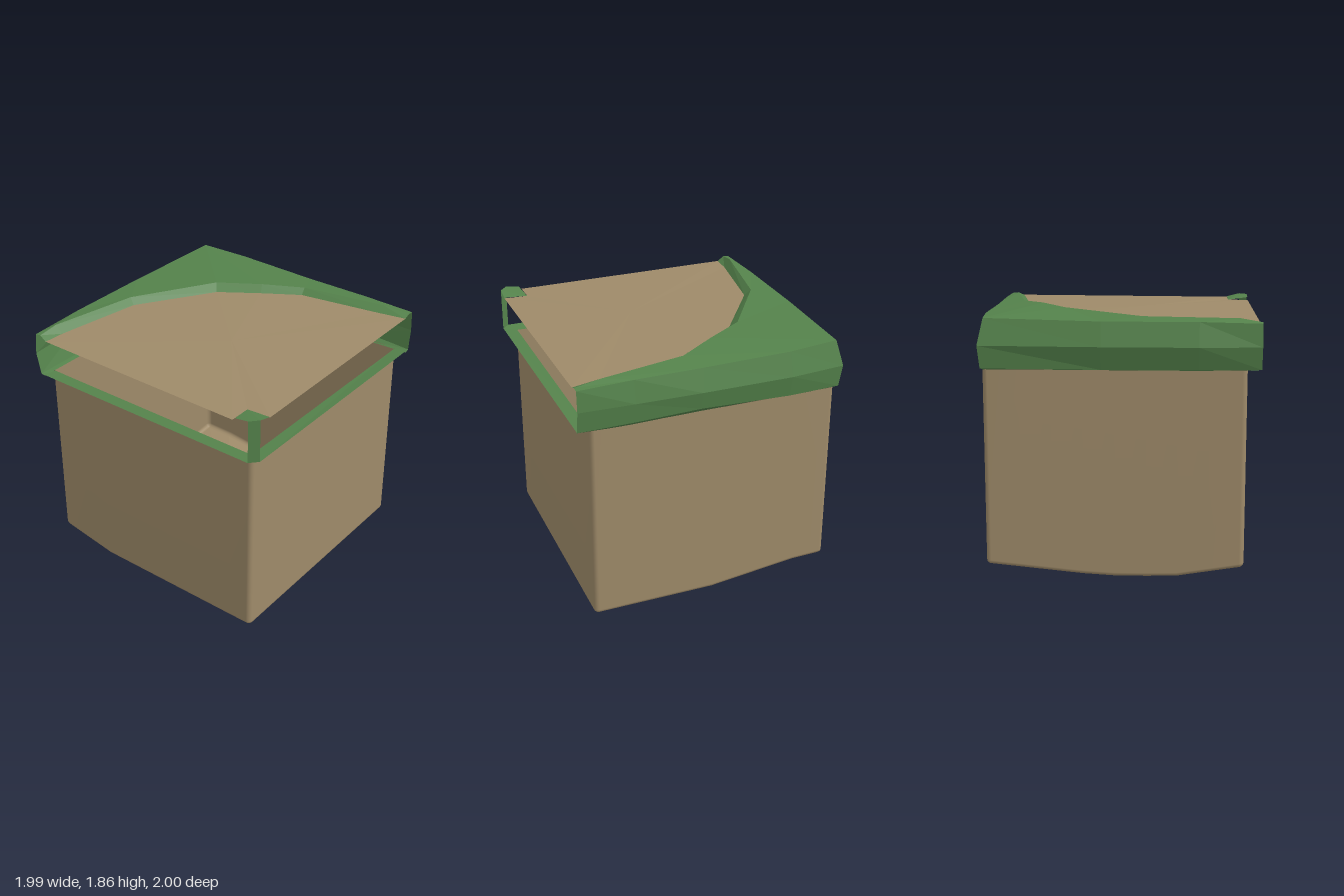
import * as THREE from 'three';

const brown = new THREE.MeshStandardMaterial({ color: 0x9e8a69, side: THREE.DoubleSide });
brown.name = 'earth';
const green = new THREE.MeshStandardMaterial({ color: 0x54824b, side: THREE.DoubleSide });
green.name = 'grass';

const TOP = 1.49;

function makeMesh(name, points, index, material, flat = true) {
  let geo = new THREE.BufferGeometry();
  geo.setAttribute('position', new THREE.Float32BufferAttribute(points.flat(), 3));
  geo.setIndex(index);
  if (flat) geo = geo.toNonIndexed();
  geo.computeVertexNormals();
  const mesh = new THREE.Mesh(geo, material);
  mesh.name = name;
  return mesh;
}

// Join rows of equal length; closed wraps the last column to the first
function loft(name, rows, material, flat = true, closed = false) {
  const n = rows[0].length, index = [];
  for (let r = 0; r < rows.length - 1; r++) {
    for (let c = 0; c < (closed ? n : n - 1); c++) {
      const d = (c + 1) % n;
      const a = r * n + c, b = r * n + d, e = a + n, f = b + n;
      index.push(a, e, b, b, e, f);
    }
  }
  return makeMesh(name, rows.flat(), index, material, flat);
}

// Triangle fan from the first point
function fan(name, points, material, closed = false) {
  const index = [];
  for (let i = 1; i < points.length - 1; i++) index.push(0, i, i + 1);
  if (closed) index.push(0, points.length - 1, 1);
  return makeMesh(name, points, index, material);
}

// Lift of the underside at the two back corners
function lift(x, z) {
  const s = THREE.MathUtils.clamp;
  if (x > 0) return 0.08 * s((x - 0.1) / 0.8, 0, 1) * s(-z / 0.7, 0, 1);
  return 0.08 * s((-x - 0.4) / 0.5, 0, 1) * s((-z - 0.45) / 0.45, 0, 1);
}

// Rounded square outline of the block, running from +x towards -z
function outline(inset) {
  const r = 0.035, h = 0.915, pts = [];
  for (let k = 0; k < 4; k++) {
    const a0 = k * Math.PI / 2;
    const dir = a0 + Math.PI / 4;
    const cx = Math.sign(Math.cos(dir)) * (h - r), cz = -Math.sign(Math.sin(dir)) * (h - r);
    for (let i = 0; i <= 4; i++) {
      const a = a0 + i * Math.PI / 8, q = r - inset;
      pts.push([cx + q * Math.cos(a), cz - q * Math.sin(a)]);
    }
    // subdivide the straight side that follows
    const end = pts[pts.length - 1];
    const step = [[-1, 0], [0, 1], [1, 0], [0, -1]][k];
    for (let i = 1; i < 8; i++) {
      const t = 2 * (h - r) * i / 8;
      pts.push([end[0] + step[0] * t, end[1] + step[1] * t]);
    }
  }
  return pts.map(([x, z]) => [x + 0.01, z - 0.005]);
}

function makeBlock() {
  const block = new THREE.Group();
  block.name = 'earthBlock';
  const r = 0.03;
  const ring = (inset, y, raised = true) =>
    outline(inset).map(([x, z]) => [x, y + (raised ? lift(x, z) : 0), z]);
  const rows = [ring(0, TOP, false)];
  for (let i = 0; i <= 3; i++) {
    const a = i * Math.PI / 6;
    rows.push(ring(r * (1 - Math.cos(a)), r * (1 - Math.sin(a))));
  }
  block.add(loft('blockWalls', rows.map(row => [...row].reverse()).reverse(), brown, false, true));
  const base = rows[rows.length - 1];
  block.add(fan('blockUnderside', [[0.01, 0, 0], ...base.slice().reverse()], brown, true));
  return block;
}

// Grass stations from the left end of the back to the front end of the right:
// low (x, y, z), middle (x, z), ridge (x, y, z), rim top (x, y, z), rim foot (x, y, z)
const stations = [
  [[-1, 1.50, -0.935], [-1, -0.97], [-1, 1.82, -0.955], [-1, 1.825, -0.91], [-1, 1.79, -0.86]],
  [[-0.57, 1.495, -0.945], [-0.57, -1], [-0.57, 1.83, -0.96], [-0.85, 1.85, -0.90], [-0.84, 1.79, -0.85]],
  [[0.1, 1.495, -0.945], [0.1, -1], [0.1, 1.83, -0.96], [-0.18, 1.845, -0.775], [-0.2, 1.80, -0.73]],
  [[0.935, 1.50, -0.945], [0.95, -0.965], [0.91, 1.845, -0.92], [0.39, 1.86, -0.40], [0.34, 1.81, -0.36]],
  [[0.96, 1.505, -0.55], [0.99, -0.55], [0.945, 1.835, -0.55], [0.58, 1.86, -0.105], [0.53, 1.81, -0.08]],
  [[0.965, 1.53, 0.12], [0.99, 0.12], [0.945, 1.825, 0.1], [0.755, 1.845, 0.17], [0.705, 1.805, 0.18]],
  [[0.96, 1.515, 0.6], [0.98, 0.6], [0.95, 1.825, 0.6], [0.88, 1.84, 0.8], [0.82, 1.80, 0.8]],
  [[0.945, 1.505, 1], [0.965, 1], [0.955, 1.815, 1], [0.91, 1.82, 1], [0.86, 1.80, 1]],
];
const flangeStart = [
  [-1, 1.495, -0.9], [-0.57, 1.487, -0.91], [0.1, 1.487, -0.91], [0.915, 1.487, -0.91],
  [0.915, 1.487, -0.55], [0.915, 1.487, 0.12], [0.915, 1.477, 0.6], [0.915, 1.49, 1],
];

export function createModel() {
  const model = new THREE.Group();
  model.name = 'cliffBlock';
  model.add(makeBlock());

  // Overhanging grass: outer skirt, sloping top and the step down to the path
  const rows = [0, 1, 2, 3, 4, 5].map(k => stations.map((s, i) => {
    const [low, mid, ridge, rimTop, rimFoot] = s;
    return [flangeStart[i], low, [mid[0], 1.66, mid[1]], ridge, rimTop, rimFoot][k];
  }));
  model.add(loft('grassUnderside', [rows[1], rows[0]].reverse().map(r => [...r].reverse()), green));
  model.add(loft('grassSkirt', rows.slice(1, 4).map(r => [...r].reverse()), green));
  model.add(loft('grassTop', rows.slice(3).map(r => [...r].reverse()), green));

  // Earth surface on top, gently domed
  const foot = rows[5].slice().reverse();
  model.add(fan('earthTop', [
    [-0.2, 1.805, 0.2], ...foot,
    [-1, 1.785, 0.82], [-0.84, 1.785, 0.82], [-0.84, 1.79, 1],
  ], brown, true));

  // Small grass corner at the front, with its clipped outer face
  const inner = [-0.84, 1.785, 0.82];
  const a = [-1, 1.82, 0.945], b = [-0.94, 1.82, 1];
  model.add(fan('cornerGrass', [inner, [-1, 1.805, 0.84], a, b, [-0.84, 1.795, 1]], green));
  const post = [1.5, 1.66, 1.82].map(y => [[-1, y, 0.945], [-0.94, y, 1]]);
  model.add(loft('cornerFace', post.reverse(), green));

  // Thin grass ledge along the open front and left sides
  const outer = [[0.945, 1.505, 1], [-0.94, 1.5, 1], [-1, 1.5, 0.945], [-1, 1.5, -0.935]];
  const edge = [[0.915, TOP, 0.9], [-0.89, TOP, 0.9], [-0.895, TOP, 0.895], [-0.895, TOP, -0.9]];
  model.add(loft('grassLedge', [outer, edge], green));
  return model;
}
